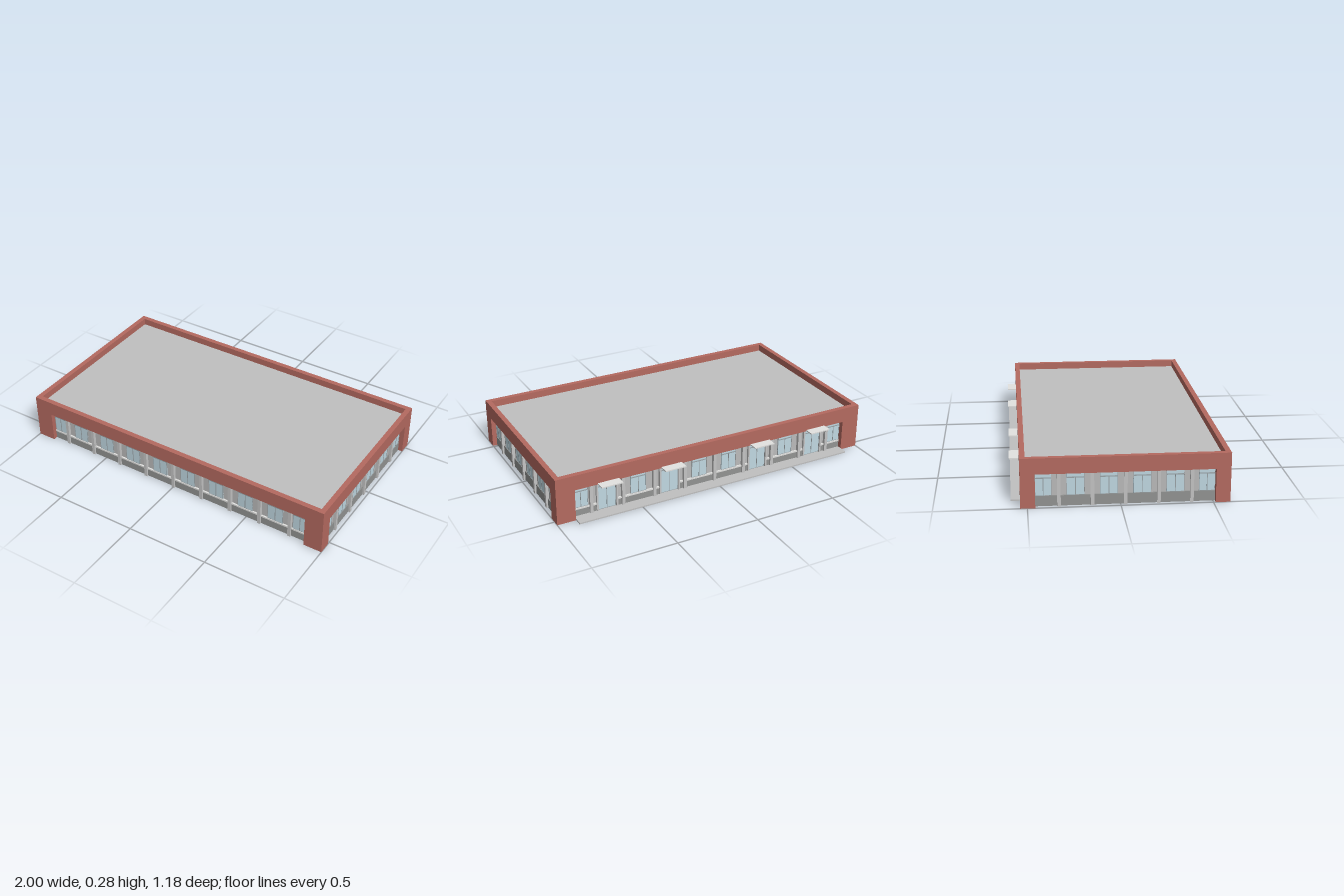
import * as THREE from 'three';

const mat = (name, color) => {
  const m = new THREE.MeshStandardMaterial({ color });
  m.name = name;
  return m;
};

export function createModel() {
  const M = {
    brick: mat('red brick', 0xb46a60),
    roof: mat('roof grey', 0xc0c0c0),
    wall: mat('wall grey', 0xbababa),
    column: mat('column grey', 0xc4c4c4),
    plinth: mat('plinth grey', 0x929392),
    floor: mat('floor grey', 0xb0b0b0),
    glass: mat('pale blue glass', 0xc0d8e2),
    frame: mat('window frame grey', 0x9aa4a8),
    light: mat('light concrete', 0xe2e2e0),
  };
  const model = new THREE.Group();
  model.name = 'building';

  // Box given by its centre in x and z, and its bottom and top in y
  const box = (parent, name, m, x, z, w, d, y0, y1) => {
    const mesh = new THREE.Mesh(new THREE.BoxGeometry(w, y1 - y0, d), m);
    mesh.position.set(x, (y0 + y1) / 2, z);
    mesh.name = name;
    parent.add(mesh);
  };

  const HX = 1, HZ = 0.565;             // half size of the main block
  const OPEN_X = 0.888, OPEN_Z = 0.485; // half width of the wall openings
  const RECESS = 0.035, TOP = 0.19, ROOF = 0.238, HEIGHT = 0.28;

  const block = new THREE.Group();
  block.name = 'mainBlock';
  block.position.z = 0.027;
  model.add(block);

  // Recessed core, floor, brick band and roof
  box(block, 'recessedWalls', M.wall, 0, 0, 2 * (HX - RECESS), 2 * (HZ - RECESS), 0.004, TOP);
  box(block, 'floorSlab', M.floor, 0, 0, 2 * (HX - RECESS), 2 * (HZ - RECESS), 0, 0.004);
  box(block, 'brickBand', M.brick, 0, 0, 2 * HX, 2 * HZ, TOP, ROOF - 0.004);
  box(block, 'roof', M.roof, 0, 0, 2 * HX - 0.06, 2 * HZ - 0.06, ROOF - 0.004, ROOF);

  // Parapet ring
  const rect = (S, x, z) => {
    const s = new S();
    s.moveTo(-x, -z).lineTo(x, -z).lineTo(x, z).lineTo(-x, z).closePath();
    return s;
  };
  const ring = rect(THREE.Shape, HX, HZ);
  ring.holes.push(rect(THREE.Path, HX - 0.03, HZ - 0.03));
  const ringGeo = new THREE.ExtrudeGeometry(ring, { depth: HEIGHT - ROOF + 0.004, bevelEnabled: false });
  ringGeo.rotateX(-Math.PI / 2);
  const parapet = new THREE.Mesh(ringGeo, M.brick);
  parapet.position.y = ROOF - 0.004;
  parapet.name = 'parapet';
  block.add(parapet);

  // Corner piers
  const pw = HX - OPEN_X, pd = HZ - OPEN_Z;
  for (const sx of [-1, 1]) for (const sz of [-1, 1]) {
    box(block, 'cornerPier', M.brick, sx * (HX - pw / 2), sz * (HZ - pd / 2), pw, pd, 0, TOP);
  }

  // Glazing: glass, jambs, rails, transom and centre mullion
  const glazing = (parent, name, x, w, y0, transom) => {
    const g = new THREE.Group();
    g.name = name;
    g.position.x = x;
    parent.add(g);
    box(g, 'glass', M.glass, 0, 0.002, w, 0.004, y0, TOP);
    for (const s of [-1, 1]) box(g, 'jamb', M.frame, s * (w / 2 - 0.001), 0.003, 0.002, 0.006, y0, TOP);
    box(g, 'head', M.frame, 0, 0.003, w, 0.006, TOP - 0.002, TOP);
    box(g, 'transom', M.frame, 0, 0.003, w, 0.006, transom - 0.003, transom + 0.003);
    box(g, 'mullion', M.frame, 0, 0.003, 0.004, 0.006, y0, transom);
    box(g, 'bottomRail', M.frame, 0, 0.003, w, 0.006, y0, y0 + 0.002);
  };

  // One facade facing +z, with columns at a pitch and a window or door per bay
  const facade = (name, distance, angle, half, pitch, count, sill, doors = []) => {
    const f = new THREE.Group();
    f.name = name;
    f.rotation.y = angle;
    f.position.set(Math.sin(angle) * distance, 0, Math.cos(angle) * distance);
    block.add(f);
    const edge = (count - 1) / 2 * pitch;
    for (let i = 0; i < count; i++) {
      box(f, 'column', M.column, i * pitch - edge, 0.0095, 0.019, 0.019, 0, TOP);
    }
    const panel = (x, w) => {
      box(f, 'plinth', M.plinth, x, 0.004, w, 0.008, 0, sill ? 0.048 : 0.058);
      if (sill) box(f, 'sill', M.light, x, 0.005, w, 0.01, 0.048, 0.058);
    };
    for (let i = 0; i < count - 1; i++) {
      const x = (i + 0.5) * pitch - edge;
      if (doors.includes(i)) {
        glazing(f, 'door', x, 0.11, 0.01, 0.155);
        for (const s of [-1, 1]) {
          box(f, 'doorPost', M.column, s * 0.06 + x, 0.007, 0.01, 0.014, 0, TOP);
          panel(x + s * (0.065 + pitch / 2) / 2, pitch / 2 - 0.065);
        }
        box(f, 'canopy', M.light, x, 0.0445, 0.13, 0.089, 0.191, 0.198);
      } else {
        glazing(f, 'window', x, 0.097, 0.058, 0.158);
        panel(x, pitch);
      }
    }
    // Narrower end bays beside the piers
    for (const s of [-1, 1]) {
      glazing(f, 'endWindow', s * (half - 0.044), 0.088, 0.058, 0.158);
      panel(s * (half + edge) / 2, half - edge);
    }
    return f;
  };

  const dz = HZ - RECESS, dx = HX - RECESS;
  facade('frontFacade', dz, 0, OPEN_X, 0.196, 9, true);
  const back = facade('backFacade', dz, Math.PI, OPEN_X, 0.196, 9, true, [0, 2, 5, 7]);
  facade('leftFacade', dx, Math.PI / 2, OPEN_Z, 0.179, 5, false);
  facade('rightFacade', dx, -Math.PI / 2, OPEN_Z, 0.179, 5, false);

  // Walkway along the back
  box(back, 'walkway', M.roof, 0, 0.0425, 2 * OPEN_X, 0.085, 0.001, 0.009);

  return model;
}
